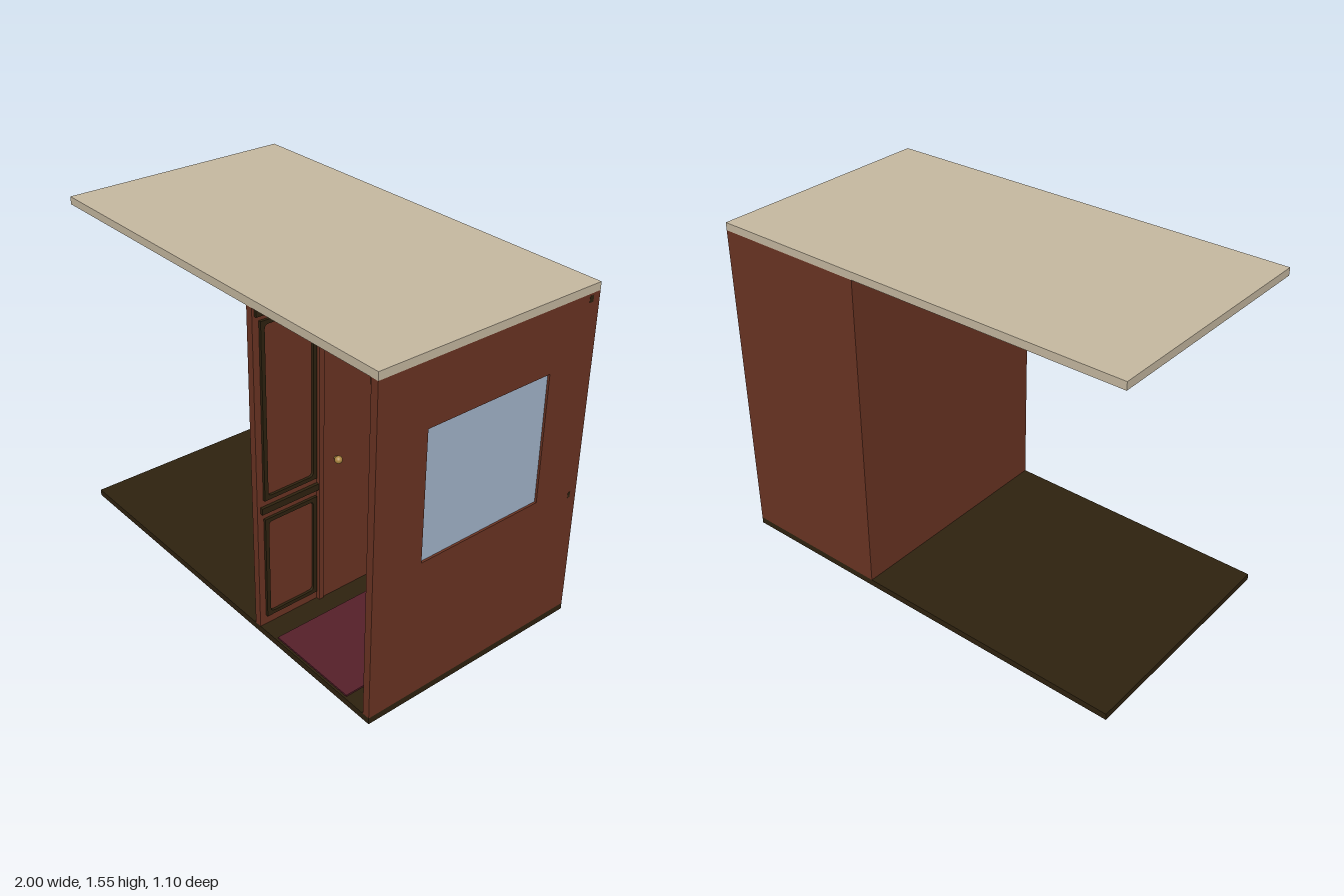
import * as THREE from 'three';

const mat = (name, color, side = THREE.FrontSide) => {
  const m = new THREE.MeshStandardMaterial({ color, side });
  m.name = name;
  return m;
};

export function createModel() {
  const panelWood = mat('red brown wood', 0x6b3423);
  const darkWood = mat('dark wood', 0x2e220f);
  const cream = mat('cream ceiling', 0xc6b9a1);
  const glass = mat('pale blue glass', 0xa3b5cc);
  const maroon = mat('maroon cloth', 0x56202a);
  const brass = mat('brass', 0xa8833f);
  const silver = mat('lamp shade', 0xb9b5a8, THREE.DoubleSide);

  const model = new THREE.Group();
  model.name = 'trainCompartment';

  const add = (parent, name, geo, material, x = 0, y = 0, z = 0) => {
    const m = new THREE.Mesh(geo, material);
    m.name = name;
    m.position.set(x, y, z);
    parent.add(m);
    return m;
  };
  // Box given by its limits on each axis
  const box = (parent, name, material, [x0, x1], [y0, y1], [z0, z1]) =>
    add(parent, name, new THREE.BoxGeometry(x1 - x0, y1 - y0, z1 - z0), material,
      (x0 + x1) / 2, (y0 + y1) / 2, (z0 + z1) / 2);

  const rect = (Type, x0, x1, y0, y1) => {
    const s = new Type();
    s.moveTo(x0, y0);
    s.lineTo(x1, y0);
    s.lineTo(x1, y1);
    s.lineTo(x0, y1);
    s.closePath();
    return s;
  };
  const roundedHole = (x0, x1, y0, y1, r) => {
    const p = new THREE.Path();
    p.moveTo(x0 + r, y0);
    p.lineTo(x1 - r, y0);
    p.quadraticCurveTo(x1, y0, x1, y0 + r);
    p.lineTo(x1, y1 - r);
    p.quadraticCurveTo(x1, y1, x1 - r, y1);
    p.lineTo(x0 + r, y1);
    p.quadraticCurveTo(x0, y1, x0, y1 - r);
    p.lineTo(x0, y0 + r);
    p.quadraticCurveTo(x0, y0, x0 + r, y0);
    return p;
  };
  // Raised moulding around a wall panel
  const moulding = (parent, x0, x1, y0, y1) => {
    const t = 0.018;
    const s = rect(THREE.Shape, x0, x1, y0, y1);
    s.holes.push(roundedHole(x0 + t, x1 - t, y0 + t, y1 - t, 0.02));
    const geo = new THREE.ExtrudeGeometry(s, { depth: 0.012, bevelEnabled: false, curveSegments: 4 });
    add(parent, 'panelMoulding', geo, darkWood);
  };
  // Upper and lower mouldings plus the rails between them
  const panelColumn = (parent, x0, x1) => {
    moulding(parent, x0, x1, 0.075, 0.57);
    moulding(parent, x0, x1, 0.66, 1.455);
    box(parent, 'chairRail', darkWood, [x0 - 0.015, x1 + 0.015], [0.6, 0.63], [0, 0.014]);
  };
  // Wall trim group: local x along the wall, local z into the room
  const trimGroup = (name, x, z, angle) => {
    const g = new THREE.Group();
    g.name = name;
    g.position.set(x, 0, z);
    g.rotation.y = angle;
    model.add(g);
    return g;
  };

  // Floor, ceiling and carpet
  box(model, 'floor', darkWood, [-1, 1], [0, 0.03], [-0.55, 0.55]);
  box(model, 'ceiling', cream, [-1, 1], [1.515, 1.55], [-0.55, 0.55]);
  box(model, 'carpet', maroon, [0.415, 0.855], [0.03, 0.037], [-0.5, 0.54]);

  // Solid walls
  box(model, 'backWall', panelWood, [0.275, 1], [0.03, 1.515], [-0.55, -0.515]);
  box(model, 'corridorWall', panelWood, [0.275, 0.308], [0.03, 1.515], [-0.515, 0.55]);

  // Window wall with its opening
  const wall = rect(THREE.Shape, -0.55, 0.515, 0.03, 1.515);
  wall.holes.push(rect(THREE.Path, -0.31, 0.31, 0.66, 1.24));
  const wallGeo = new THREE.ExtrudeGeometry(wall, { depth: 0.035, bevelEnabled: false });
  wallGeo.rotateY(Math.PI / 2);
  add(model, 'windowWall', wallGeo, panelWood, 0.965, 0, 0);
  box(model, 'windowGlass', glass, [0.975, 0.99], [0.66, 1.24], [-0.31, 0.31]);

  // Back wall trim
  const back = trimGroup('backTrim', 0, -0.515, 0);
  panelColumn(back, 0.32, 0.6);
  panelColumn(back, 0.672, 0.952);
  box(back, 'crownRail', darkWood, [0.308, 1.0005], [1.478, 1.507], [0, 0.021]);
  box(back, 'railBar', darkWood, [0.308, 1.0005], [0.6, 0.625], [0, 0.013]);

  // Corridor wall trim
  const corridor = trimGroup('corridorTrim', 0.308, 0, Math.PI / 2);
  panelColumn(corridor, -0.52, -0.255);
  panelColumn(corridor, 0.265, 0.49);
  box(corridor, 'crownRail', darkWood, [-0.54, 0.5], [1.478, 1.507], [0, 0.014]);

  // Corridor door with frame, plaque and knob
  box(corridor, 'slidingDoor', panelWood, [-0.22, 0.24], [0.03, 1.44], [0, 0.012]);
  for (const u of [-0.235, 0.235]) {
    box(corridor, 'doorJamb', panelWood, [u - 0.012, u + 0.012], [0.03, 1.46], [0, 0.018]);
  }
  box(corridor, 'doorHeader', panelWood, [-0.247, 0.247], [1.44, 1.465], [0, 0.018]);
  box(corridor, 'doorPlaque', brass, [-0.065, 0.065], [1.17, 1.25], [0.012, 0.016]);
  add(corridor, 'doorKnob', new THREE.SphereGeometry(0.017, 16, 12), brass, -0.16, 0.722, 0.034);
  const stem = add(corridor, 'knobStem', new THREE.CylinderGeometry(0.007, 0.007, 0.025, 12), brass, -0.16, 0.722, 0.02);
  stem.rotation.x = Math.PI / 2;

  // Window wall trim
  const side = trimGroup('windowTrim', 0.965, 0, -Math.PI / 2);
  panelColumn(side, 0.33, 0.52);
  panelColumn(side, -0.49, -0.33);
  moulding(side, -0.3, 0.3, 0.075, 0.57);
  box(side, 'windowSill', darkWood, [-0.33, 0.33], [0.6, 0.63], [0, 0.016]);
  box(side, 'crownRail', darkWood, [-0.5, 0.54], [1.478, 1.507], [0, 0.014]);

  // Outer door against the back wall
  box(model, 'outerDoor', darkWood, [0.405, 0.862], [0.035, 1.393], [-0.502, -0.475]);
  box(model, 'outerDoorWindow', glass, [0.508, 0.762], [0.853, 1.203], [-0.475, -0.47]);
  box(model, 'doorPlate', brass, [0.5, 0.772], [1.42, 1.466], [-0.515, -0.49]);

  // Ceiling lamp
  const dome = [];
  for (let i = 0; i <= 10; i++) {
    const a = (i / 10) * Math.PI / 2;
    dome.push(new THREE.Vector2(0.103 * Math.sin(a), -0.06 * Math.cos(a)));
  }
  add(model, 'lampShade', new THREE.LatheGeometry(dome, 32), silver, 0.636, 1.5, 0);
  add(model, 'lampRing', new THREE.CylinderGeometry(0.113, 0.113, 0.015, 32), brass, 0.636, 1.5075, 0);

  // Tied curtains either side of the window, hung on a rod
  const front = [[0.91, 1.395], [0.885, 1.36], [0.89, 1.3], [0.897, 1.15], [0.87, 1.0], [0.862, 0.92], [0.882, 0.8], [0.892, 0.7], [0.884, 0.615]];
  const rear = [[0.928, 0.615], [0.922, 0.7], [0.91, 0.8], [0.892, 0.92], [0.9, 1.0], [0.922, 1.15], [0.93, 1.3], [0.935, 1.36], [0.91, 1.395]];
  const toPoints = (list) => list.map(([x, y]) => new THREE.Vector2(x, y));
  const profile = new THREE.Shape();
  profile.moveTo(0.91, 1.395);
  profile.splineThru(toPoints(front.slice(1)));
  profile.lineTo(0.928, 0.615);
  profile.splineThru(toPoints(rear.slice(1)));
  const curtainGeo = new THREE.ExtrudeGeometry(profile, { depth: 0.13, bevelEnabled: false, curveSegments: 4 });
  for (const z of [-0.355, 0.355]) {
    add(model, 'curtain', curtainGeo, maroon, 0, 0, z - 0.065);
    box(model, 'curtainTie', brass, [0.856, 0.898], [0.9, 0.925], [z - 0.068, z + 0.068]);
    box(model, 'rodBracket', darkWood, [0.91, 0.965], [1.34, 1.36], [z * 1.22 - 0.01, z * 1.22 + 0.01]);
  }
  const rod = add(model, 'curtainRod', new THREE.CylinderGeometry(0.011, 0.011, 0.9, 12), darkWood, 0.91, 1.35, 0);
  rod.rotation.x = Math.PI / 2;

  return model;
}
